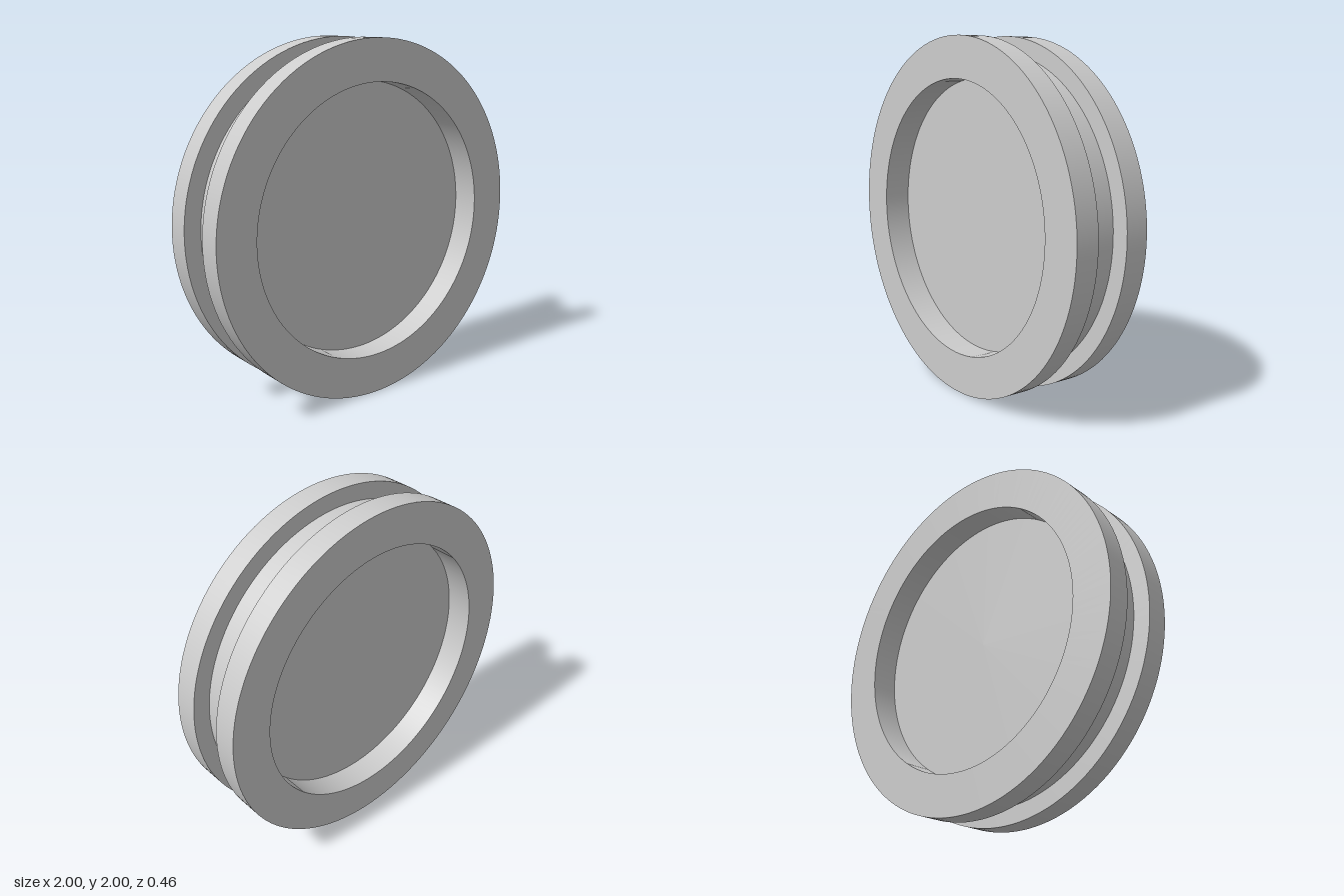
import * as THREE from 'three';
import { mergeGeometries } from 'three/addons/utils/BufferGeometryUtils.js';

const SEGMENTS = 128;
const RADIUS = 1;          // flange radius
const GROOVE_RADIUS = 0.905;
const RECESS_RADIUS = 0.77;
const HALF_WIDTH = 0.23;
const HALF_GROOVE = 0.094;
const HALF_WEB = 0.074;    // half thickness of the central disc

// Revolves each straight run of the profile separately so its corners stay sharp.
function sharpLathe(points) {
  const bands = [];
  for (let i = 0; i < points.length - 1; i++) {
    const run = [points[i], points[i + 1]].map(([r, y]) => new THREE.Vector2(r, y));
    bands.push(new THREE.LatheGeometry(run, SEGMENTS));
  }
  return mergeGeometries(bands).rotateX(Math.PI / 2);
}

export function createModel() {
  const group = new THREE.Group();
  group.name = 'groovedWheel';
  const material = new THREE.MeshStandardMaterial({ color: 0xcccccc });

  // Half profile from the middle of the groove to the front centre, mirrored for the back
  const front = [
    [GROOVE_RADIUS, HALF_GROOVE],
    [RADIUS, HALF_GROOVE],
    [RADIUS, HALF_WIDTH],
    [RECESS_RADIUS, HALF_WIDTH],
    [RECESS_RADIUS, HALF_WEB],
    [0, HALF_WEB],
  ];
  const back = front.map(([r, y]) => [r, -y]).reverse();

  // Wheel body: two flanges, outer groove and a recessed disc on each face
  const wheel = new THREE.Mesh(sharpLathe([...back, ...front]), material);
  wheel.name = 'wheelBody';
  wheel.position.y = RADIUS;
  group.add(wheel);
  return group;
}
